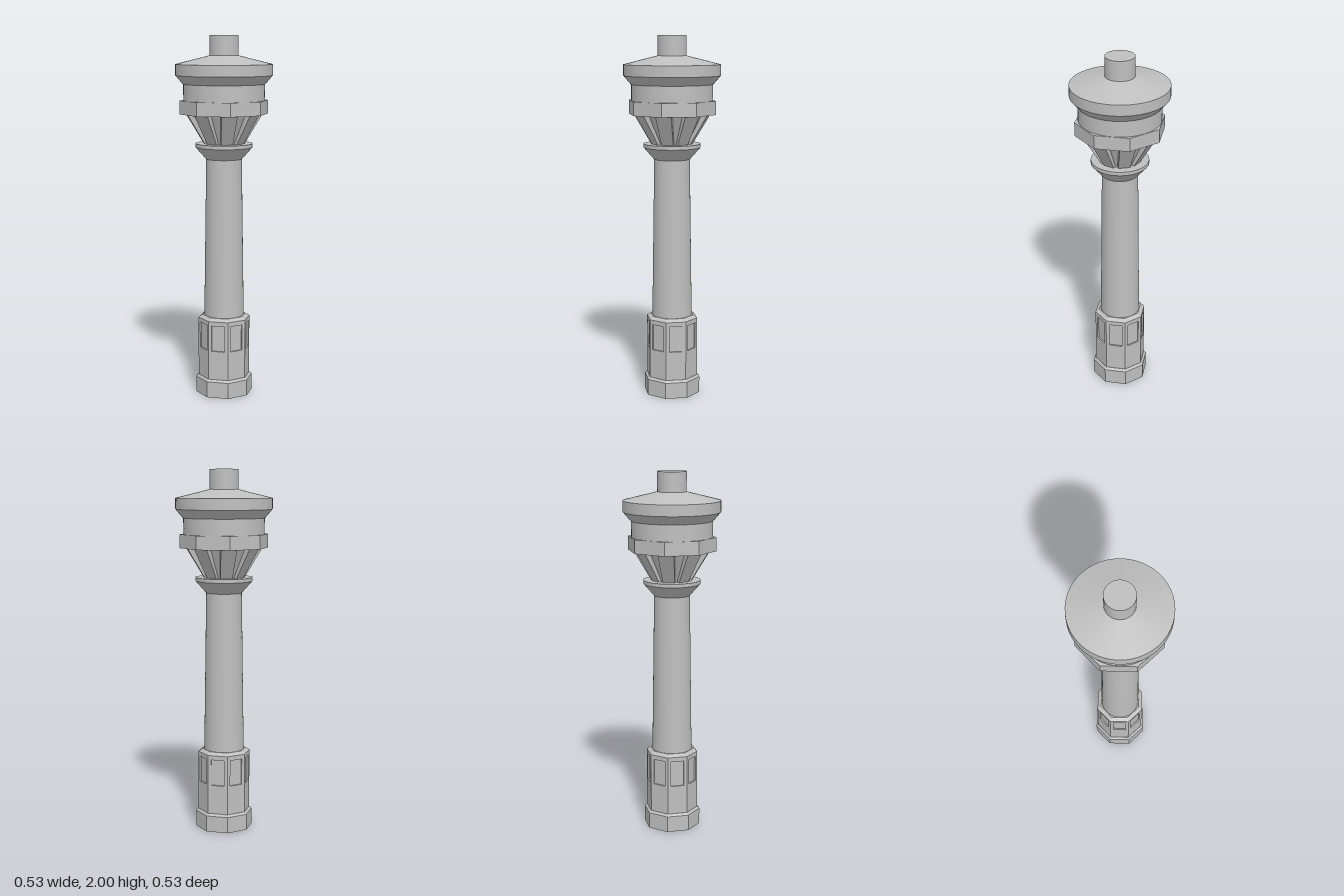
import * as THREE from 'three';
import { toCreasedNormals } from 'three/addons/utils/BufferGeometryUtils.js';

const stone = new THREE.MeshStandardMaterial({ color: 0xbfbfbf });
stone.name = 'stone grey';

function add(parent, name, geometry) {
  const mesh = new THREE.Mesh(toCreasedNormals(geometry, 0.4), stone);
  mesh.name = name;
  parent.add(mesh);
  return mesh;
}

// Round part from [radius, height] pairs, listed bottom to top
const round = (points) =>
  new THREE.LatheGeometry(points.map(([r, y]) => new THREE.Vector2(r, y)), 48);

// Eight-sided part with corners on the x and z axes
const octagon = (rTop, rBottom, y0, y1) =>
  new THREE.CylinderGeometry(rTop, rBottom, y1 - y0, 8).translate(0, (y0 + y1) / 2, 0);

// Wall plate with a rectangular opening, which leaves a recessed panel
function wallPlate(width, y0, y1, depth) {
  const w = width / 2;
  const shape = new THREE.Shape();
  shape.moveTo(-w, y0).lineTo(w, y0).lineTo(w, y1).lineTo(-w, y1).closePath();
  const hole = new THREE.Path();
  hole.moveTo(-0.037, 0.265).lineTo(-0.037, 0.41).lineTo(0.037, 0.41).lineTo(0.037, 0.265).closePath();
  shape.holes.push(hole);
  return new THREE.ExtrudeGeometry(shape, { depth, bevelEnabled: false });
}

// Sloping bracket: narrow and close in at the foot, wide and far out at the top
function bracketGeometry() {
  const geometry = new THREE.BoxGeometry(1, 1, 1);
  const p = geometry.attributes.position;
  for (let i = 0; i < p.count; i++) {
    const top = p.getY(i) > 0;
    const outer = p.getZ(i) > 0;
    p.setXYZ(
      i,
      Math.sign(p.getX(i)) * (top ? 0.044 : 0.032),
      top ? 1.58 : 1.412,
      outer ? (top ? 0.208 : 0.108) : (top ? 0.15 : 0.06)
    );
  }
  return geometry;
}

export function createModel() {
  const tower = new THREE.Group();
  tower.name = 'tower';

  // Eight-sided base
  add(tower, 'plinth', octagon(0.159, 0.159, 0, 0.09));
  add(tower, 'plinthBevel', octagon(0.146, 0.159, 0.09, 0.102));
  add(tower, 'baseCore', octagon(0.136, 0.136, 0.1, 0.433));
  add(tower, 'baseTopBevel', octagon(0.122, 0.145, 0.435, 0.45));

  const r = 0.145;
  const apothem = r * Math.cos(Math.PI / 8);
  const side = 2 * r * Math.sin(Math.PI / 8);
  const depth = 0.012;
  for (let i = 0; i < 8; i++) {
    const plate = wallPlate(side, 0.1, 0.435, depth).translate(0, 0, apothem - depth);
    add(tower, 'baseWall', plate).rotation.y = (i + 0.5) * Math.PI / 4;
  }

  // Tapered shaft and its collar
  add(tower, 'shaft', round([[0.111, 0.44], [0.098, 1.335]]));
  add(tower, 'collar', round([[0.09, 1.33], [0.1, 1.33], [0.157, 1.395], [0.157, 1.415], [0, 1.415]]));

  // Flared support with brackets under the eight-sided ring
  add(tower, 'flare', round([[0.095, 1.41], [0.18, 1.58]]));
  const bracket = bracketGeometry();
  for (let i = 0; i < 8; i++) {
    add(tower, 'bracket', bracket).rotation.y = i * Math.PI / 4;
  }
  add(tower, 'ring', octagon(0.243, 0.243, 1.575, 1.65));

  // Round head, overhanging roof and chimney
  add(tower, 'head', round([[0.222, 1.6], [0.222, 1.745]]));
  add(tower, 'roof', round([
    [0.2, 1.738], [0.225, 1.738], [0.265, 1.785], [0.265, 1.845], [0.078, 1.892]
  ]));
  add(tower, 'chimney', round([[0.079, 1.88], [0.079, 2], [0, 2]]));

  return tower;
}
